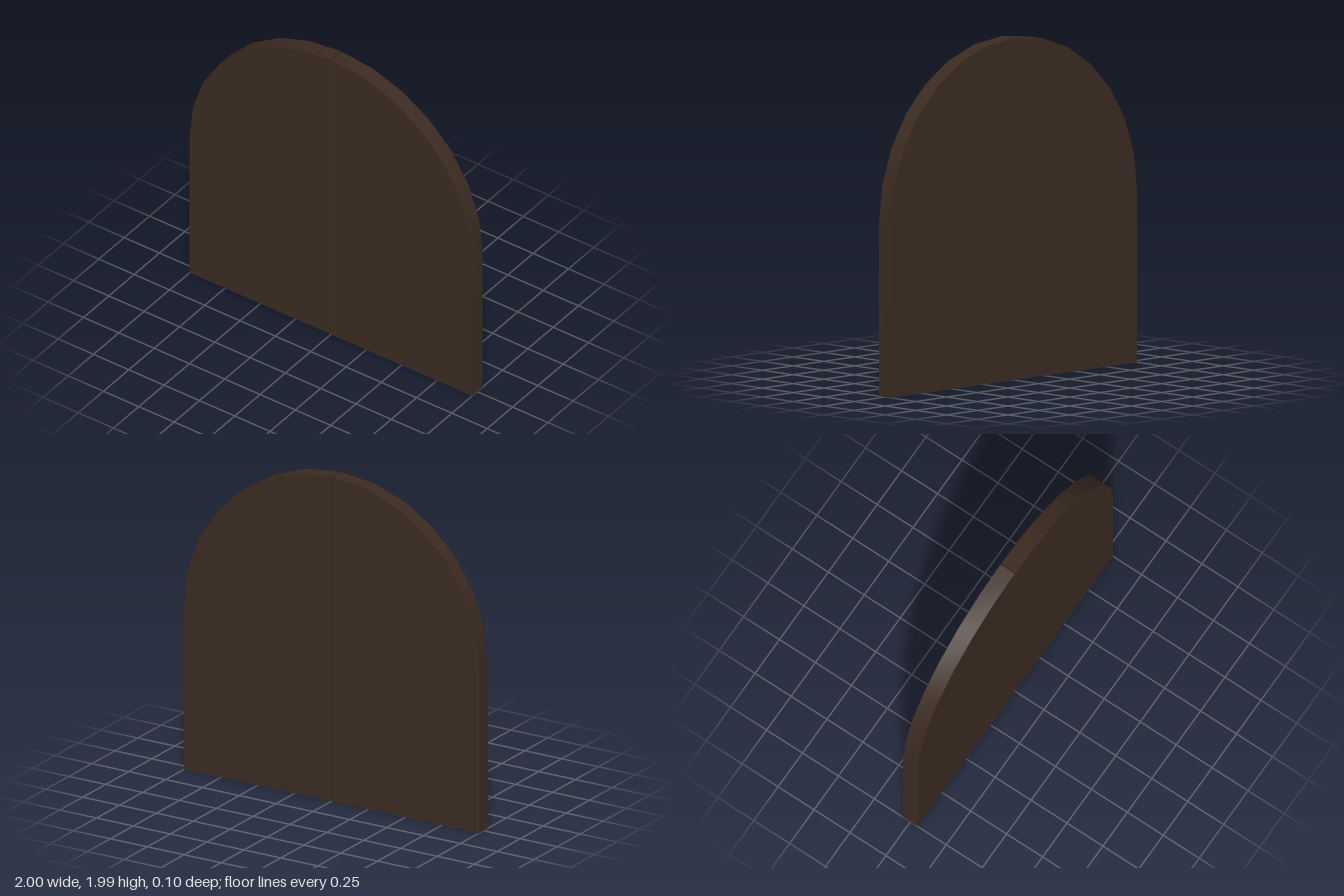
import * as THREE from 'three';
import { toCreasedNormals } from 'three/addons/utils/BufferGeometryUtils.js';

const GAP = 0.005;      // half the slit between the leaves
const WIDTH = 0.995;    // leaf width, also the arch radius and spring height
const DEPTH = 0.1;
const ARC_STEPS = 7;

// One leaf: a square panel topped by a quarter-round arch
function leafGeometry(side) {
  const points = [new THREE.Vector2(side * GAP, 0), new THREE.Vector2(side * (GAP + WIDTH), 0)];
  for (let i = 0; i <= ARC_STEPS; i++) {
    const a = (i / ARC_STEPS) * Math.PI / 2;
    points.push(new THREE.Vector2(side * (GAP + WIDTH * Math.cos(a)), WIDTH + WIDTH * Math.sin(a)));
  }
  const geometry = new THREE.ExtrudeGeometry(new THREE.Shape(points), { depth: DEPTH, bevelEnabled: false });
  geometry.translate(0, 0, -DEPTH / 2);
  return toCreasedNormals(geometry, 0.5);
}

export function createModel() {
  const group = new THREE.Group();
  group.name = 'archedDoubleDoor';
  const darkWood = new THREE.MeshStandardMaterial({ color: 0x3b2b21 });
  darkWood.name = 'darkWood';

  // Mirrored pair of door leaves
  for (const [name, side] of [['leftLeaf', 1], ['rightLeaf', -1]]) {
    const leaf = new THREE.Mesh(leafGeometry(side), darkWood);
    leaf.name = name;
    group.add(leaf);
  }
  return group;
}
